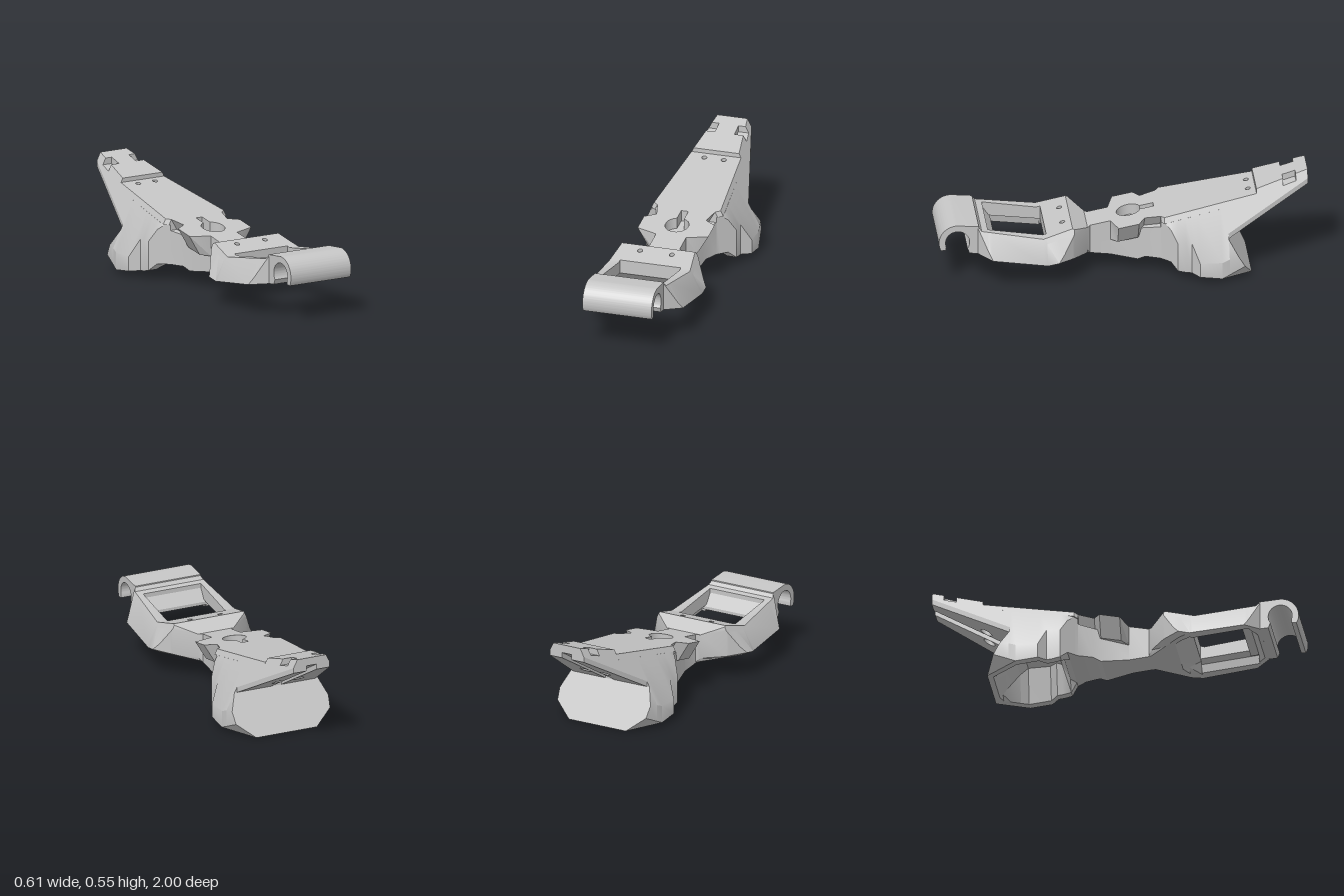
import * as THREE from 'three';
import { toCreasedNormals } from 'three/addons/utils/BufferGeometryUtils.js';

const grey = new THREE.MeshStandardMaterial({ color: 0xc6c6c6 });
grey.name = 'plain grey';

// Piecewise linear profile, points sorted by z
const profile = (pts) => (z) => {
  let i = 0;
  while (i < pts.length - 2 && z > pts[i + 1][0]) i++;
  const [a, b] = [pts[i], pts[i + 1]];
  return a[1] + (b[1] - a[1]) * (z - a[0]) / (b[0] - a[0]);
};
const topY = profile([[-0.72, 0.442], [0.19, 0.265], [0.28, 0.31], [0.44, 0.265], [0.77, 0.315], [0.79, 0.34]]);
const tailTopY = profile([[-1, 0.55], [-0.72, 0.465]]);
const tailBottomY = profile([[-1, 0.475], [-0.56, 0.225]]);
const backY = profile([[-0.69, 0], [-0.56, 0.225]]);
const bottomY = profile([[-0.69, 0], [-0.29, 0.049], [-0.25, 0.094], [-0.12, 0.094], [-0.08, 0.074], [0.79, 0.18]]);
const planW = profile([[-0.69, 0.18], [-0.645, 0.28], [-0.52, 0.305], [-0.4, 0.305], [-0.36, 0.255],
  [-0.285, 0.255], [-0.195, 0.165], [-0.1, 0.13], [0.065, 0.085], [0.175, 0.085], [0.27, 0.22],
  [0.36, 0.295], [0.715, 0.28], [0.79, 0.195]]);
// Slanted lower corners of the foot and frame: half width of the base and height of the cut
const baseW = profile([[-0.69, 0.18], [-0.52, 0.305], [0.17, 0.305], [0.19, 0.09], [0.36, 0.26], [0.42, 0.305], [0.8, 0.305]]);
const cornerLift = profile([[-0.69, 0], [-0.645, 0.073], [-0.52, 0], [0.17, 0], [0.19, 0.025], [0.36, 0.02], [0.42, 0], [0.8, 0]]);

// All flanks share one slope: half width at a height, and the height at a half width
const SLOPE = 0.506;
const flankX = (y) => 0.085 + SLOPE * (0.55 - y);
const flankY = (x) => 0.55 - (x - 0.085) / SLOPE;

const mirrorPts = (pts) => pts.map(([x, y]) => [-x, y]).reverse();
const whole = (half) => [...half, ...mirrorPts(half)];

// Skin of counter-clockwise rings {z, pts} listed front to back, with end caps
function loft(rings) {
  const out = [];
  const tri = (...p) => {
    const [a, b, c] = p.map((q) => new THREE.Vector3(...q));
    const area = b.clone().sub(a).cross(c.clone().sub(a)).length();
    if (area > 1e-9) p.forEach((q) => out.push(...q));
  };
  const at = (r, j) => [...r.pts[j % r.pts.length], r.z];
  for (let i = 0; i < rings.length - 1; i++) {
    const [a, b] = [rings[i], rings[i + 1]];
    for (let j = 0; j < a.pts.length; j++) {
      tri(at(a, j), at(b, j), at(a, j + 1));
      tri(at(a, j + 1), at(b, j), at(b, j + 1));
    }
  }
  const cap = (r, flip) => {
    const faces = THREE.ShapeUtils.triangulateShape(r.pts.map((p) => new THREE.Vector2(...p)), []);
    for (const [a, b, c] of faces) tri(at(r, a), at(r, flip ? c : b), at(r, flip ? b : c));
  };
  cap(rings[0], false);
  cap(rings[rings.length - 1], true);
  const g = new THREE.BufferGeometry();
  g.setAttribute('position', new THREE.Float32BufferAttribute(out, 3));
  return g;
}

// Body section: flat top, sloped flank, upright skirt, optional hollow underside
function section(z, yt, yb, cavity = 0) {
  const w = planW(z);
  const wb = Math.min(w, baseW(z));
  const yc = Math.min(yt, yb + cornerLift(z));
  const ys = Math.min(yt, Math.max(yc, flankY(w)));
  const d = Math.min(0.05, wb * 0.4);
  return { z, pts: whole([[0, yb + cavity], [wb - d * 1.8, yb + cavity], [wb - d, yb], [wb, yb], [w, yc],
    [w, ys], [Math.min(w, flankX(yt)), yt], [0, yt]]) };
}

// Plate cut from a plan outline of [x, z], following a height profile
function plate(outline, holes, top, t, taper) {
  const shape = new THREE.Shape(outline.map(([x, z]) => new THREE.Vector2(x, -z)));
  shape.holes.push(...holes);
  const g = new THREE.ExtrudeGeometry(shape, { depth: 1, bevelEnabled: false, curveSegments: 10 });
  g.rotateX(-Math.PI / 2);
  const p = g.attributes.position;
  for (let i = 0; i < p.count; i++) {
    const drop = t * (1 - p.getY(i));
    const x = p.getX(i);
    if (Math.abs(x) > 0.11) p.setX(i, x + Math.sign(x) * taper * drop);
    p.setY(i, top(p.getZ(i)) - drop);
  }
  return g;
}
const hole = (x, z, r) => new THREE.Path().absarc(x, -z, r, 0, Math.PI * 2, false);

export function createModel() {
  const model = new THREE.Group();
  model.name = 'bracket';
  const add = (name, geometry) => {
    const mesh = new THREE.Mesh(toCreasedNormals(geometry, 0.5), grey);
    mesh.name = name;
    model.add(mesh);
  };

  // Main body: [z, drop below the top plates, underside cavity]
  add('body', loft([
    [0.42, 0.03, 0.06], [0.36, 0.03, 0.02], [0.33, 0.03], [0.28, 0.03], [0.28, 0], [0.27, 0], [0.19, 0],
    [0.175, 0], [0.065, 0], [0.065, 0.06], [-0.08, 0.06], [-0.12, 0.06], [-0.2, 0.06], [-0.2, 0.03],
    [-0.218, 0.03], [-0.25, 0.03], [-0.285, 0.03, 0.06], [-0.33, 0.03, 0.16], [-0.36, 0.03, 0.175],
    [-0.4, 0.03, 0.185], [-0.52, 0.03, 0.195], [-0.56, 0.03, 0.15],
  ].map(([z, drop, c]) => section(z, topY(z) - drop, bottomY(z), c))));

  // Foot behind the body, closed by the sloping back face
  add('foot', loft([[-0.56, 0.15], [-0.61, 0.077], [-0.645, 0.02], [-0.66, 0], [-0.69, 0]]
    .map(([z, c]) => section(z, backY(z), bottomY(z), c))));

  // Tail with two pockets open to the sides
  const railTop = (z) => tailBottomY(z) + 0.03;
  const tailRing = (z, yt, pocket) => {
    const d = pocket ? 0.035 : 0;
    const yb = railTop(z);
    return { z, pts: whole([[0, yb], [flankX(yb), yb], [flankX(yt - d), yt - d],
      [pocket ? 0.055 : flankX(yt), yt - d], [pocket ? 0.055 : flankX(yt), yt], [0, yt]]) };
  };
  add('tail', loft([
    tailRing(-0.56, topY(-0.56) - 0.03), tailRing(-0.72, topY(-0.72) - 0.03),
    tailRing(-0.72, tailTopY(-0.72)), tailRing(-0.865, tailTopY(-0.865)),
    tailRing(-0.865, tailTopY(-0.865), true), tailRing(-0.935, tailTopY(-0.935), true),
    tailRing(-0.935, tailTopY(-0.935)), tailRing(-1, tailTopY(-1)),
  ]));

  // Upright-sided rails under the tail, leaving a centre groove
  const edge = (z) => flankX(railTop(z));
  for (const s of [-1, 1]) {
    const pts = [[0.03, -1], [edge(-1), -1], [edge(-0.56), -0.56], [0.03, -0.56]];
    add('tailRail', plate(pts.map(([x, z]) => [s * x, z]), [hole(s * 0.063, -0.71, 0.03)], railTop, 0.03, 0));
  }

  // Top plates with screw holes and the keyhole
  add('backPlate', plate(whole([[0.14, -0.72], [0.188, -0.218], [0.163, -0.2]]),
    [hole(-0.055, -0.68, 0.014), hole(0.055, -0.68, 0.014)], topY, 0.03, SLOPE));
  const keyhole = new THREE.Path();
  const a = Math.asin(0.02 / 0.065);
  keyhole.moveTo(0.02, 0.175);
  keyhole.lineTo(-0.02, 0.175);
  keyhole.absarc(0, 0.04, 0.065, Math.PI / 2 + a, Math.PI * 2.5 - a, false);
  add('hubPlate', plate(whole([[0.163, -0.2], [0.14, -0.115], [0.2, -0.08], [0.2, 0.03], [0.085, 0.065]]),
    [keyhole], topY, 0.11, -0.6));
  add('framePlate', plate(whole([[flankX(0.31), 0.28], [flankX(topY(0.42)), 0.42]]),
    [hole(-0.09, 0.325, 0.014), hole(0.09, 0.325, 0.014)], topY, 0.03, SLOPE));

  // Side rails of the open frame, with a stepped inner wall
  const railRing = (z) => {
    const [yt, yb, w] = [topY(z), bottomY(z), planW(z)];
    return { z, pts: [[0.172, yb + 0.06], [0.215, yb + 0.045], [0.225, yb], [w, yb],
      [w, Math.max(yb, Math.min(yt, flankY(w)))], [flankX(yt), yt], [0.172, yt]] };
  };
  const rails = [0.735, 0.715, 0.44, 0.42].map(railRing);
  add('leftFrameRail', loft(rails));
  add('rightFrameRail', loft(rails.map(({ z, pts }) => ({ z, pts: mirrorPts(pts) }))));

  // Front crossbar with a sloping sill into the opening
  add('frontCrossbar', loft([[0.79, 0], [0.77, 0], [0.735, 0.035]]
    .map(([z, c]) => section(z, topY(z), bottomY(z), c))));
  const sillRing = (z, yt) => {
    const yb = bottomY(z) + 0.035;
    return { z, pts: whole([[0, yb], [0.19, yb], [0.19, yt], [0, yt]]) };
  };
  add('frameSill', loft([sillRing(0.735, 0.285), sillRing(0.69, 0.22)]));

  // Open hook across the front
  const deg = Math.PI / 180;
  const hook = new THREE.Shape();
  hook.moveTo(0.785, 0.18);
  hook.lineTo(0.835, 0.185);
  hook.absarc(0.9, 0.25, 0.065, 215 * deg, -20 * deg, true);
  hook.lineTo(0.962, 0.208);
  hook.lineTo(0.988, 0.205);
  hook.absarc(0.9, 0.25, 0.1, -20 * deg, 90 * deg, false);
  hook.lineTo(0.785, 0.34);
  const hookGeo = new THREE.ExtrudeGeometry(hook, { depth: 0.39, bevelEnabled: false, curveSegments: 24 });
  hookGeo.translate(0, 0, -0.195);
  hookGeo.rotateY(-Math.PI / 2);
  add('hook', hookGeo);

  return model;
}
